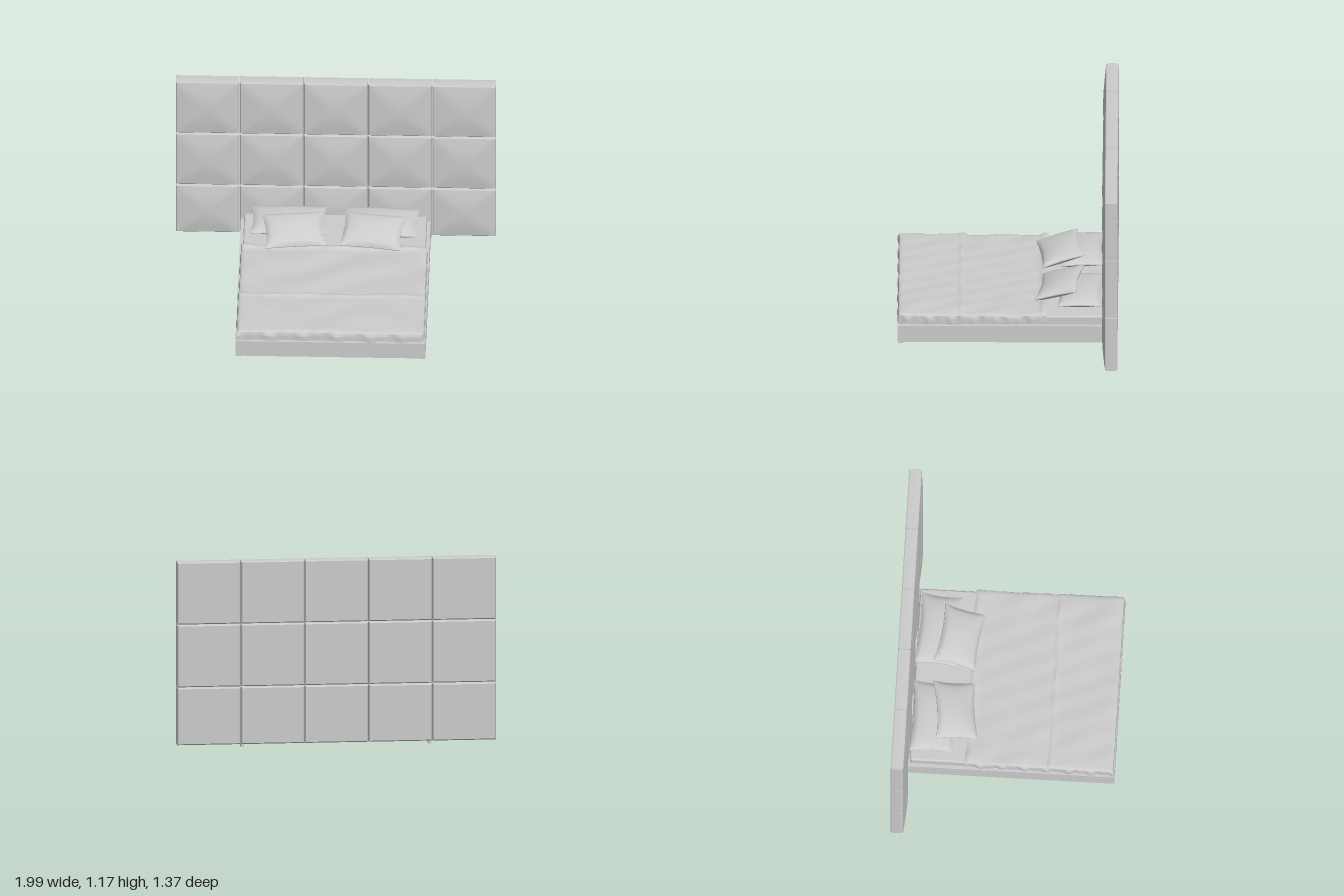
import * as THREE from 'three';
import { RoundedBoxGeometry } from 'three/addons/geometries/RoundedBoxGeometry.js';

const material = new THREE.MeshStandardMaterial({ color: 0xcccccc });
const clothMaterial = new THREE.MeshStandardMaterial({ color: 0xcccccc, side: THREE.DoubleSide });

function add(parent, name, geometry, x = 0, y = 0, z = 0, mat = material) {
  const mesh = new THREE.Mesh(geometry, mat);
  mesh.name = name;
  mesh.position.set(x, y, z);
  parent.add(mesh);
  return mesh;
}

const box = (parent, name, w, h, d, x, y, z) => add(parent, name, new THREE.BoxGeometry(w, h, d), x, y, z);

// Moves every vertex by a rule, then refreshes the normals
function reshape(geometry, rule) {
  const p = geometry.attributes.position;
  const v = new THREE.Vector3();
  for (let i = 0; i < p.count; i++) {
    v.fromBufferAttribute(p, i);
    rule(v);
    p.setXYZ(i, v.x, v.y, v.z);
  }
  geometry.computeVertexNormals();
  return geometry;
}

// Upholstered square: chamfered rim and a front swelling to a soft pyramid
function panelGeometry(w, h) {
  const depth = 0.078, chamfer = 0.007;
  return reshape(new THREE.BoxGeometry(w, h, depth, 16, 16, 3), (v) => {
    const m = Math.max(Math.abs(v.x) / (w / 2), Math.abs(v.y) / (h / 2));
    const end = Math.abs(v.z) > depth * 0.4;
    if (end) {
      v.x *= 1 - (2 * chamfer) / w;
      v.y *= 1 - (2 * chamfer) / h;
      if (v.z > 0) v.z += 0.019 * Math.sin((1 - m) * Math.PI / 2);
    } else {
      v.z = Math.sign(v.z) * (depth / 2 - chamfer);
    }
  });
}

// Pillow: puffed middle, thin seam, edges drawn in between the corners
function pillowGeometry(w, d, thick) {
  return reshape(new THREE.BoxGeometry(2, 2, 2, 24, 1, 20), (v) => {
    const { x: u, z: t } = v;
    const puff = Math.pow(Math.max(0, (1 - u * u) * (1 - t * t)), 0.45);
    const side = Math.sign(v.y);
    v.x = u * (w / 2) * (1 - 0.07 * (1 - t * t));
    v.z = t * (d / 2) * (1 - 0.09 * (1 - u * u));
    v.y = side * (0.003 + (thick / 2) * puff) + 0.012 * u * u * t;
  });
}

// Layered sine waves stand in for cloth wrinkles
function wrinkle(x, z) {
  return 0.0022 * Math.sin(9 * x + 5 * Math.sin(4 * z))
    + 0.0016 * Math.sin(23 * z + 3 * Math.sin(6 * x))
    + 0.0010 * Math.sin(41 * x - 17 * z);
}

// Cloth laid over the bed: flat on top, folded down at both sides and the foot
function drapeGeometry({ halfW, head, foot, top, drop, ridge }) {
  const length = foot - head + drop, width = 2 * (halfW + drop);
  return reshape(new THREE.PlaneGeometry(width, length, 120, 90).rotateX(-Math.PI / 2), (v) => {
    const x = v.x, z = v.z + length / 2 + head;
    const overX = Math.max(0, Math.abs(x) - halfW);
    const overZ = Math.max(0, z - foot);
    const fall = Math.max(overX, overZ);
    const cx = Math.sign(x) * Math.min(Math.abs(x), halfW);
    const cz = Math.min(z, foot);
    const hang = Math.min(1, fall / 0.03);
    // rumpled hem at the head end
    const hem = ridge * Math.exp(-Math.pow((z - head - 0.02) / 0.018, 2)) * (1 + 0.4 * Math.sin(31 * x));
    const round = 0.006 * Math.exp(-fall / 0.008) * Math.exp(-Math.min(halfW - Math.abs(cx), foot - cz) / 0.012);
    const sway = hang * (0.004 * Math.sin(47 * cz + 29 * cx) + 0.003 * Math.sin(90 * cz - 61 * cx));
    v.y = top + wrinkle(cx, cz) + hem - round - fall * (0.93 + 0.07 * Math.sin(38 * cz + 33 * cx));
    v.x = cx + (overX > 0 ? Math.sign(x) * (0.004 * hang + sway) : 0);
    v.z = cz + (overZ > 0 ? 0.007 * hang + sway : 0) + (z < head + 0.03 ? 0.005 * Math.sin(13 * x) : 0);
  });
}

export function createModel() {
  const model = new THREE.Group();
  model.name = 'bed';

  // Wall of padded panels behind the bed
  const headboard = new THREE.Group();
  headboard.name = 'headboard';
  model.add(headboard);
  const rows = [[0.022, 0.382], [0.387, 0.778], [0.783, 1.175]];
  for (const [y0, y1] of rows) {
    const geometry = panelGeometry(0.395, y1 - y0);
    for (let c = -2; c <= 2; c++) {
      add(headboard, 'headboardPanel', geometry, c * 0.4 * 0.9965, (y0 + y1) / 2, -0.651);
    }
  }
  for (const s of [-1, 1]) box(headboard, 'headboardFoot', 0.02, 0.022, 0.05, s * 0.585, 0.011, -0.645);

  // Hollow base: side, foot and head boards
  const frame = new THREE.Group();
  frame.name = 'bedFrame';
  model.add(frame);
  for (const s of [-1, 1]) {
    box(frame, 'sideBoard', 0.025, 0.112, 1.29, s * 0.578, 0.076, 0.033);
    box(frame, 'slatRail', 0.03, 0.03, 1.24, s * 0.55, 0.08, 0.033);
    box(frame, 'footPad', 0.03, 0.01, 0.03, s * 0.57, 0.017, 0.655);
  }
  box(frame, 'footBoard', 1.131, 0.112, 0.025, 0, 0.076, 0.6655);
  box(frame, 'headRail', 1.131, 0.112, 0.025, 0, 0.076, -0.5995);
  box(frame, 'centreBeam', 0.05, 0.045, 1.24, 0, 0.075, 0.033);

  // Two rows of slats carry the mattress
  const slat = new THREE.BoxGeometry(0.545, 0.01, 0.042);
  for (let i = 0; i < 17; i++) {
    for (const s of [-1, 1]) add(frame, 'slat', slat, s * 0.286, 0.102, -0.55 + i * 0.073);
  }

  // Mattress and bedding
  add(model, 'mattress', new RoundedBoxGeometry(1.135, 0.082, 1.255, 3, 0.012), 0, 0.149, 0.033);
  add(model, 'blanket', drapeGeometry({ halfW: 0.575, head: -0.25, foot: 0.665, top: 0.2, drop: 0.062, ridge: 0.01 }),
    0, 0, 0, clothMaterial);
  add(model, 'foldedThrow', drapeGeometry({ halfW: 0.578, head: 0.26, foot: 0.668, top: 0.205, drop: 0.066, ridge: 0.005 }),
    0, 0, 0, clothMaterial);

  // Two pillows on each side, the smaller leaning on the larger
  const large = pillowGeometry(0.47, 0.27, 0.075);
  const small = pillowGeometry(0.38, 0.27, 0.08);
  const pillows = [
    ['backPillow', large, -0.29, 0.232, -0.465, 0.12, 0],
    ['backPillow', large, 0.285, 0.232, -0.46, 0.12, -0.05],
    ['frontPillow', small, -0.25, 0.258, -0.328, 0.36, 0.11],
    ['frontPillow', small, 0.235, 0.258, -0.328, 0.36, -0.13],
  ];
  for (const [name, geometry, x, y, z, tilt, turn] of pillows) {
    add(model, name, geometry, x, y, z).rotation.set(tilt, turn, 0, 'YXZ');
  }
  return model;
}
